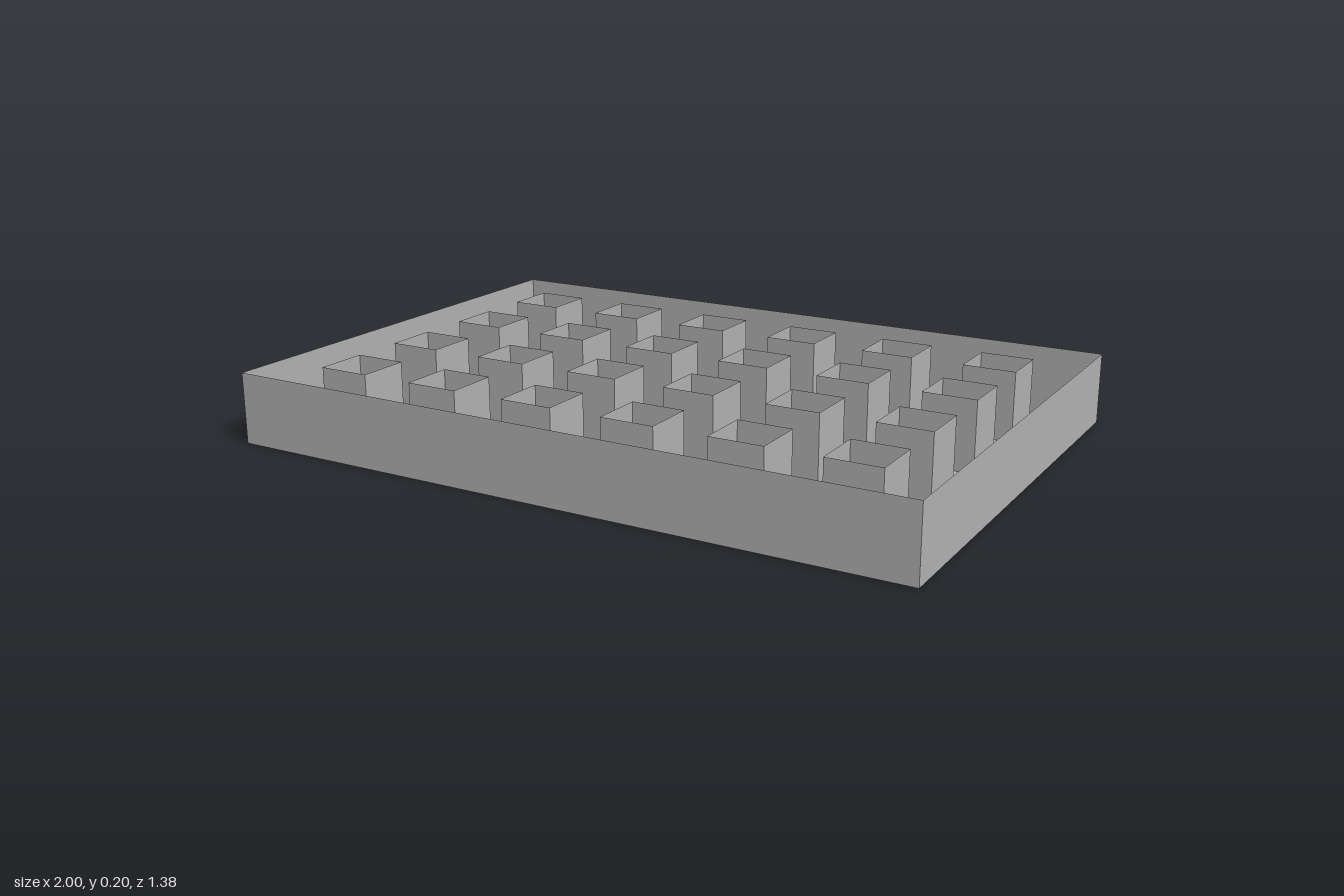
import * as THREE from 'three';

const U = 2 / 13;            // cell module: cups and gaps are both one unit wide
const HEIGHT = 0.205;
const COLUMNS = 6, ROWS = 4;

// Thin-walled box without a lid; the bottom is optional
function openBox(width, depth, withBottom) {
  const geometry = new THREE.BoxGeometry(width, HEIGHT, depth);
  const index = Array.from(geometry.index.array);
  index.splice(12, withBottom ? 6 : 12);
  geometry.setIndex(index);
  geometry.clearGroups();
  geometry.translate(0, HEIGHT / 2, 0);
  return geometry;
}

export function createModel() {
  const model = new THREE.Group();
  model.name = 'compartmentTray';
  const grey = new THREE.MeshStandardMaterial({ color: 0xb2b2b2, side: THREE.DoubleSide });
  grey.name = 'lightGrey';

  // Outer tray: floor and four walls
  const tray = new THREE.Mesh(openBox(13 * U, 9 * U, true), grey);
  tray.name = 'tray';
  model.add(tray);

  // Grid of square cups standing on the tray floor
  const cups = new THREE.Group();
  cups.name = 'cups';
  const cupGeometry = openBox(U, U, false);
  for (let row = 0; row < ROWS; row++) {
    for (let column = 0; column < COLUMNS; column++) {
      const cup = new THREE.Mesh(cupGeometry, grey);
      cup.name = `cup${row + 1}_${column + 1}`;
      cup.position.set((column - (COLUMNS - 1) / 2) * 2 * U, 0, (row - (ROWS - 1) / 2) * 2 * U);
      cups.add(cup);
    }
  }
  model.add(cups);
  return model;
}
